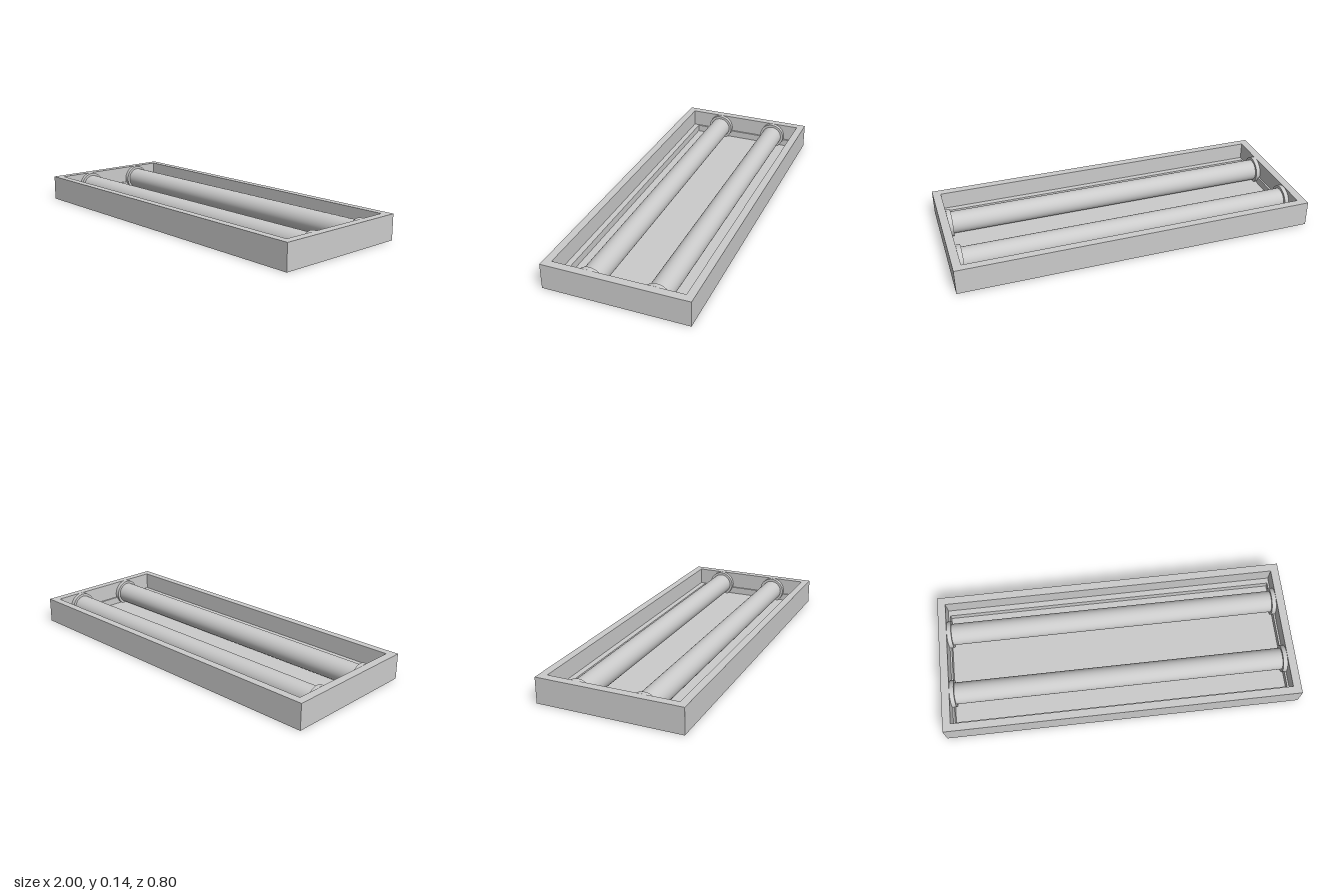
import * as THREE from 'three';

const FLOOR = 0.004;
const material = new THREE.MeshStandardMaterial({ color: 0xcccccc });

function add(group, name, geometry, x = 0, y = 0, z = 0) {
  const mesh = new THREE.Mesh(geometry, material);
  mesh.name = name;
  mesh.position.set(x, y, z);
  group.add(mesh);
  return mesh;
}

function rectangle(Target, hw, hd) {
  return new Target().moveTo(-hw, -hd).lineTo(hw, -hd).lineTo(hw, hd).lineTo(-hw, hd).closePath();
}

// Rectangular ring lying flat, standing on y = 0
function frame(outerX, outerZ, innerX, innerZ, height) {
  const shape = rectangle(THREE.Shape, outerX, outerZ);
  shape.holes.push(rectangle(THREE.Path, innerX, innerZ));
  return new THREE.ExtrudeGeometry(shape, { depth: height, bevelEnabled: false }).rotateX(-Math.PI / 2);
}

// Round disc with a flat foot, thin along x
function socketGeometry(radius, drop, thickness) {
  const a = Math.asin(drop / radius);
  const shape = new THREE.Shape();
  shape.absarc(0, 0, radius, -a, Math.PI + a, false);
  shape.closePath();
  return new THREE.ExtrudeGeometry(shape, { depth: thickness, bevelEnabled: false, curveSegments: 32 })
    .translate(0, 0, -thickness / 2)
    .rotateY(Math.PI / 2);
}

export function createModel() {
  const model = new THREE.Group();
  model.name = 'lightFixture';

  // Open tray: base plate, outer walls and low inner ledge
  const tray = new THREE.Group();
  tray.name = 'tray';
  add(tray, 'basePlate', new THREE.BoxGeometry(2, FLOOR, 0.8), 0, FLOOR / 2, 0);
  add(tray, 'walls', frame(1, 0.4, 0.955, 0.357, 0.143 - FLOOR), 0, FLOOR, 0);
  add(tray, 'innerLedge', frame(0.955, 0.357, 0.945, 0.325, 0.041), 0, FLOOR, 0);
  model.add(tray);

  // Two lamps, each a tube held between end sockets
  const tubeY = 0.066;
  for (const [name, z] of [['backLamp', -0.197], ['frontLamp', 0.162]]) {
    const lamp = new THREE.Group();
    lamp.name = name;
    lamp.position.set(0, tubeY, z);
    add(lamp, 'tube', new THREE.CylinderGeometry(0.062, 0.062, 1.88, 40).rotateZ(Math.PI / 2));
    for (const side of [-1, 1]) {
      add(lamp, side > 0 ? 'leftSocket' : 'rightSocket',
        socketGeometry(0.077, tubeY - FLOOR, 0.024), side * 0.942, 0, 0);
    }
    model.add(lamp);
  }
  return model;
}
